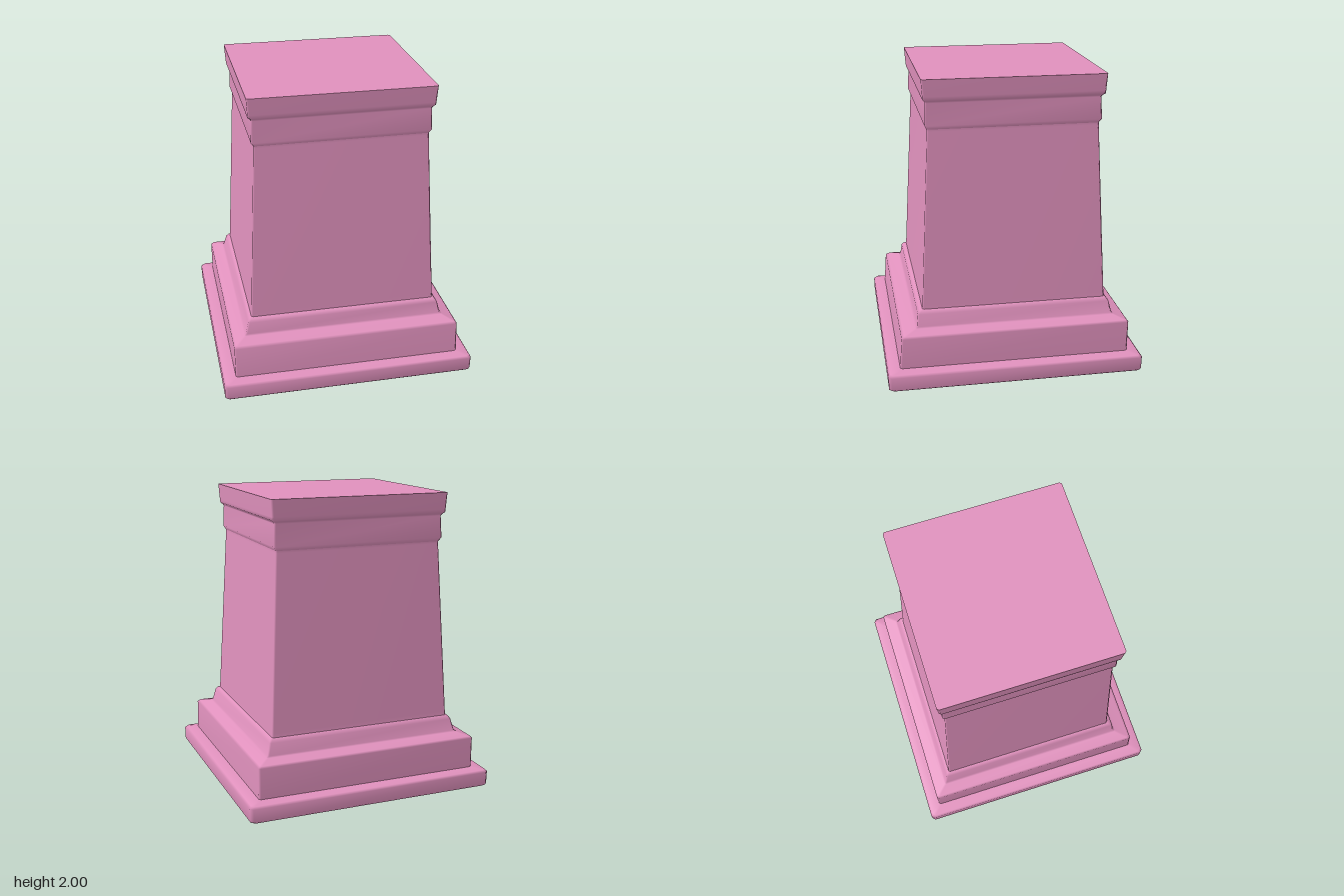
import * as THREE from 'three';

// Each section: [height, half width, front depth, back depth, corner bevel]
const plinth = [
  [0, 0.84, 0.84, 0.84, 0.02],
  [0.012, 0.853, 0.853, 0.853, 0.02],
  [0.1, 0.855, 0.855, 0.855, 0.02],
  [0.114, 0.842, 0.842, 0.842, 0.02],
  [0.12, 0.79, 0.79, 0.79, 0.015],
  [0.122, 0.77, 0.772, 0.77, 0.012],
];
const moulding = [
  [0.122, 0.77, 0.772, 0.77, 0.012],
  [0.33, 0.77, 0.757, 0.773, 0.012],
  [0.343, 0.758, 0.74, 0.763, 0.012],
  [0.362, 0.69, 0.66, 0.69, 0.01],
  [0.37, 0.678, 0.647, 0.678, 0.01],
  [0.448, 0.658, 0.637, 0.66, 0.01],
  [0.468, 0.645, 0.622, 0.645, 0.01],
  [0.473, 0.632, 0.604, 0.635, 0.01],
];
const shaft = [
  [0.473, 0.632, 0.604, 0.635, 0.01],
  [0.5, 0.63, 0.602, 0.632, 0.01],
  [1.66, 0.572, 0.542, 0.576, 0.01],
  [1.675, 0.573, 0.543, 0.577, 0.01],
];
const neckAndCap = [
  [1.675, 0.573, 0.543, 0.577, 0.01],
  [1.7, 0.588, 0.557, 0.592, 0.01],
  [1.845, 0.582, 0.551, 0.584, 0.01],
  [1.857, 0.59, 0.556, 0.592, 0.01],
  [1.868, 0.603, 0.567, 0.607, 0.012],
  [1.89, 0.605, 0.569, 0.609, 0.012],
  [2, 0.612, 0.577, 0.616, 0.012],
];

// Bevelled rectangle, counter-clockwise seen from above
function ring([y, w, f, b, c]) {
  return [
    [-w + c, f], [w - c, f], [w, f - c], [w, c - b],
    [w - c, -b], [c - w, -b], [-w, c - b], [-w, f - c],
  ].map(([x, z]) => [x, y, z]);
}

// Open shell through a stack of bevelled rectangles
function loft(sections) {
  const index = [];
  for (let s = 0; s < sections.length - 1; s++) {
    for (let i = 0; i < 8; i++) {
      const a = s * 8 + i, b = s * 8 + (i + 1) % 8;
      index.push(a, b, b + 8, a, b + 8, a + 8);
    }
  }
  const g = new THREE.BufferGeometry();
  g.setAttribute('position', new THREE.Float32BufferAttribute(sections.flatMap(ring).flat(), 3));
  g.setIndex(index);
  g.computeVertexNormals();
  return g;
}

export function createModel() {
  const group = new THREE.Group();
  group.name = 'pedestal';
  const pink = new THREE.MeshStandardMaterial({ color: 0xe091bd, side: THREE.DoubleSide });
  pink.name = 'pink';

  const add = (name, geometry) => {
    const mesh = new THREE.Mesh(geometry, pink);
    mesh.name = name;
    group.add(mesh);
    return mesh;
  };

  // Hollow body, open underneath
  add('plinth', loft(plinth));
  add('baseMoulding', loft(moulding));
  add('shaft', loft(shaft));
  add('neckAndCap', loft(neckAndCap));

  // Flat top
  const outline = ring(neckAndCap.at(-1)).map(([x, , z]) => new THREE.Vector2(x, -z));
  const top = add('topSlab', new THREE.ShapeGeometry(new THREE.Shape(outline)));
  top.rotation.x = -Math.PI / 2;
  top.position.y = 2;

  return group;
}
